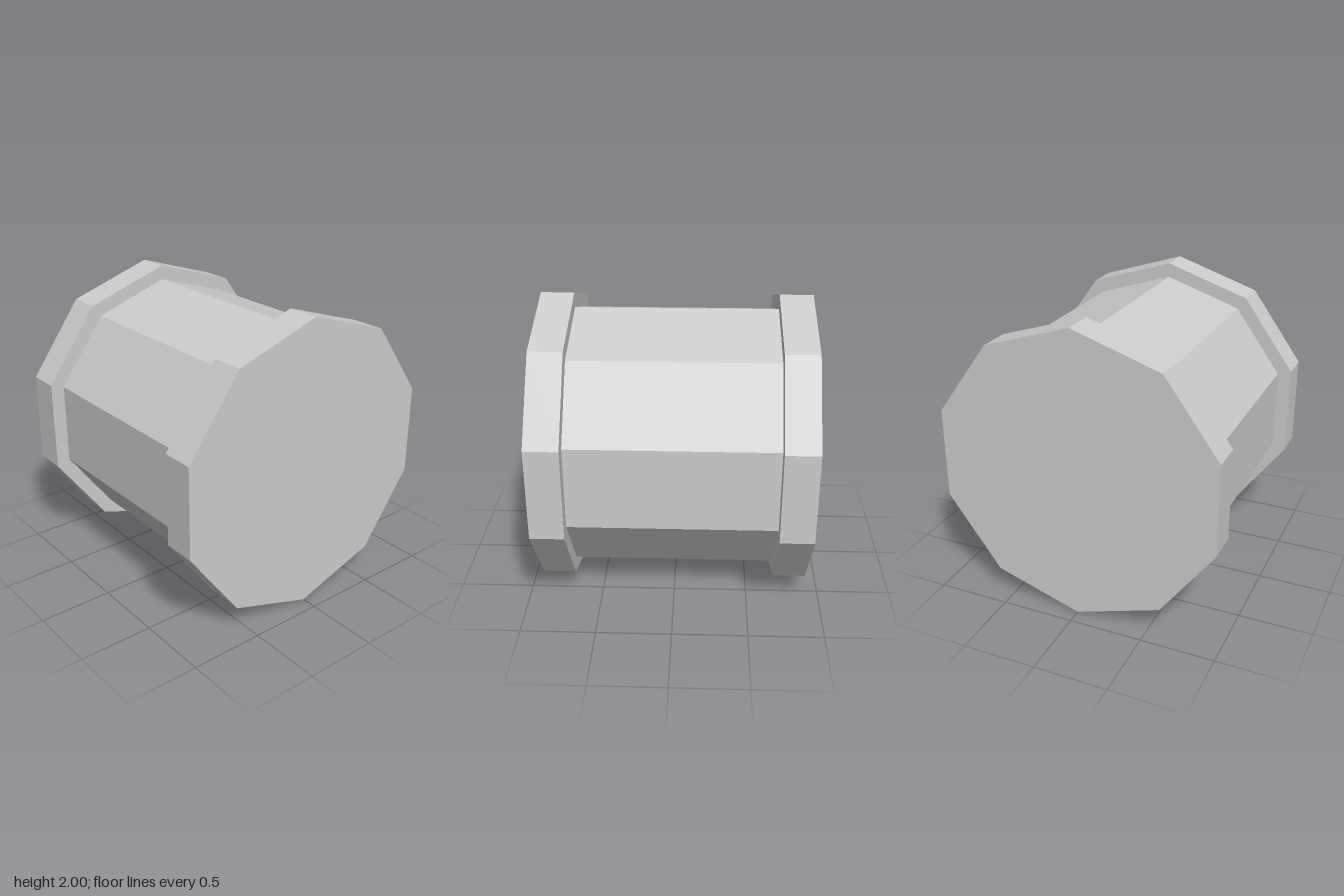
import * as THREE from 'three';

export function createModel() {
  const group = new THREE.Group();
  group.name = 'flangedDrum';

  const lightGrey = new THREE.MeshStandardMaterial({ color: 0xcccccc, flatShading: true });
  lightGrey.name = 'lightGrey';

  // Ten-sided prism lying along z, with a corner at the top
  const addPrism = (name, radius, length, z, openEnded = false) => {
    const geometry = new THREE.CylinderGeometry(radius, radius, length, 10, 1, openEnded);
    geometry.rotateX(Math.PI / 2);
    const mesh = new THREE.Mesh(geometry, lightGrey);
    mesh.name = name;
    mesh.position.set(0, 1, z);
    group.add(mesh);
  };

  const end = 0.897, inner = 0.675;
  const rimLength = end - inner;

  // Central barrel, its ends hidden by the rims
  addPrism('barrel', 0.9, inner * 2, 0, true);

  // Wider rims at the front and back
  addPrism('frontRim', 1, rimLength, (end + inner) / 2);
  addPrism('backRim', 1, rimLength, -(end + inner) / 2);

  return group;
}
